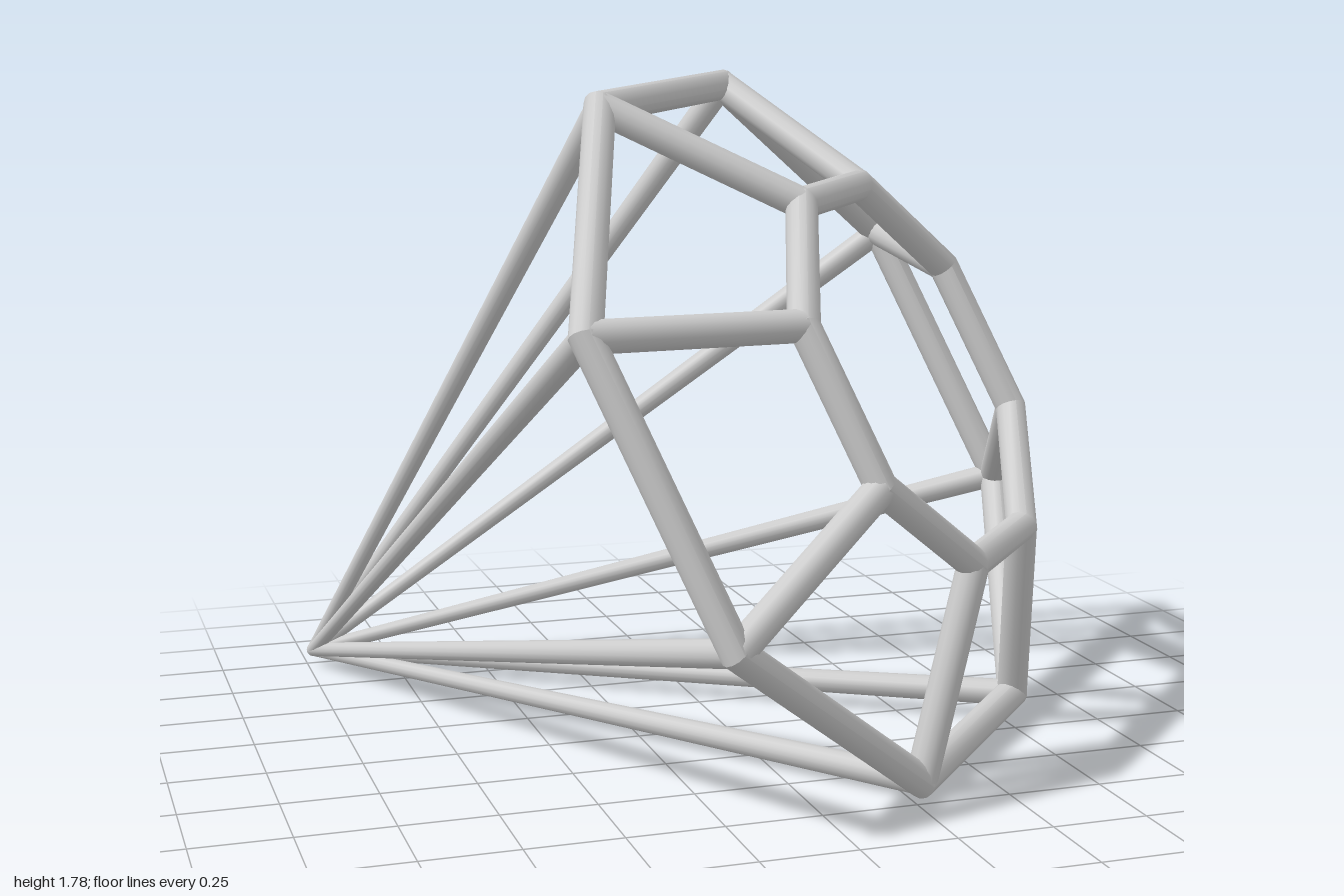
import * as THREE from 'three';
import { toCreasedNormals } from 'three/addons/utils/BufferGeometryUtils.js';

const SEGMENTS = 14;
const TUBE = 0.041;
const material = new THREE.MeshStandardMaterial({ color: 0xcccccc });

// Corner directions of the slightly uneven octagon: four corners and their opposites
const HALF = [0, 42.3, 87.5, 134.8];
const ANGLES = [...HALF, ...HALF.map((a) => a + 180)].map(THREE.MathUtils.degToRad);
const SIDES = ANGLES.length;

// Point on an octagon around the gem's own axis (local y)
function corner(i, radius, height) {
  return new THREE.Vector3(
    radius * Math.cos(ANGLES[i]), height, radius * Math.sin(ANGLES[i]));
}

// Straight bar between two points, optionally tapered
function bar(name, from, to, rFrom, rTo) {
  const span = to.clone().sub(from);
  const mesh = new THREE.Mesh(
    new THREE.CylinderGeometry(rTo, rFrom, span.length(), SEGMENTS), material);
  mesh.position.copy(from).addScaledVector(span, 0.5);
  mesh.quaternion.setFromUnitVectors(new THREE.Vector3(0, 1, 0), span.normalize());
  mesh.name = name;
  return mesh;
}

// Octagonal tube ring with mitred corners: the section is widened so each side stays round
function ring(name, radius, height) {
  const profile = [];
  const wide = TUBE / Math.cos(Math.PI / SIDES);
  for (let i = 0; i <= SEGMENTS; i++) {
    const a = (i / SEGMENTS) * Math.PI * 2;
    profile.push(new THREE.Vector2(radius + wide * Math.cos(a), TUBE * Math.sin(a)));
  }
  // Turn every section of the lathe to its own corner direction
  const geometry = new THREE.LatheGeometry(profile, SIDES);
  const position = geometry.attributes.position;
  for (let v = 0; v < position.count; v++) {
    const section = Math.floor(v / profile.length);
    const r = profile[v % profile.length].x;
    const p = corner((SIDES - section) % SIDES, r, position.getY(v));
    position.setXYZ(v, p.x, p.y, p.z);
  }
  const mesh = new THREE.Mesh(toCreasedNormals(geometry, 0.6), material);
  mesh.position.y = height;
  mesh.name = name;
  return mesh;
}

export function createModel() {
  const model = new THREE.Group();
  model.name = 'wireframeGem';

  // Gem frame in its own axes: tip at the origin, table facing +y
  const gem = new THREE.Group();
  gem.name = 'gemFrame';
  const girdle = { radius: 1.0, height: 1.85 };
  const table = { radius: 0.535, height: 2.16 };
  const tip = new THREE.Vector3();

  gem.add(ring('girdleRing', girdle.radius, girdle.height));
  gem.add(ring('tableRing', table.radius, table.height));

  for (let i = 0; i < SIDES; i++) {
    const outer = corner(i, girdle.radius, girdle.height);
    const inner = corner(i, table.radius, table.height);
    gem.add(bar('crownStrut', outer, inner, TUBE, TUBE));
    gem.add(bar('pavilionStrut', tip, outer, 0.02, 0.036));
  }

  // Small rounded point where the long struts meet
  const point = new THREE.Mesh(new THREE.SphereGeometry(0.021, 12, 8), material);
  point.name = 'tipJoint';
  gem.add(point);

  // Lean the gem so that it rests on its tip and one girdle side
  const axis = new THREE.Vector3(0.634, 0.455, 0.625).normalize();
  const across = new THREE.Vector3(-0.584, 0.812, 0);
  across.addScaledVector(axis, -across.dot(axis)).normalize();
  const third = new THREE.Vector3().crossVectors(across, axis);
  gem.quaternion.setFromRotationMatrix(new THREE.Matrix4().makeBasis(across, axis, third));
  gem.position.set(-0.982, 0.046, -0.982);

  model.add(gem);
  return model;
}
